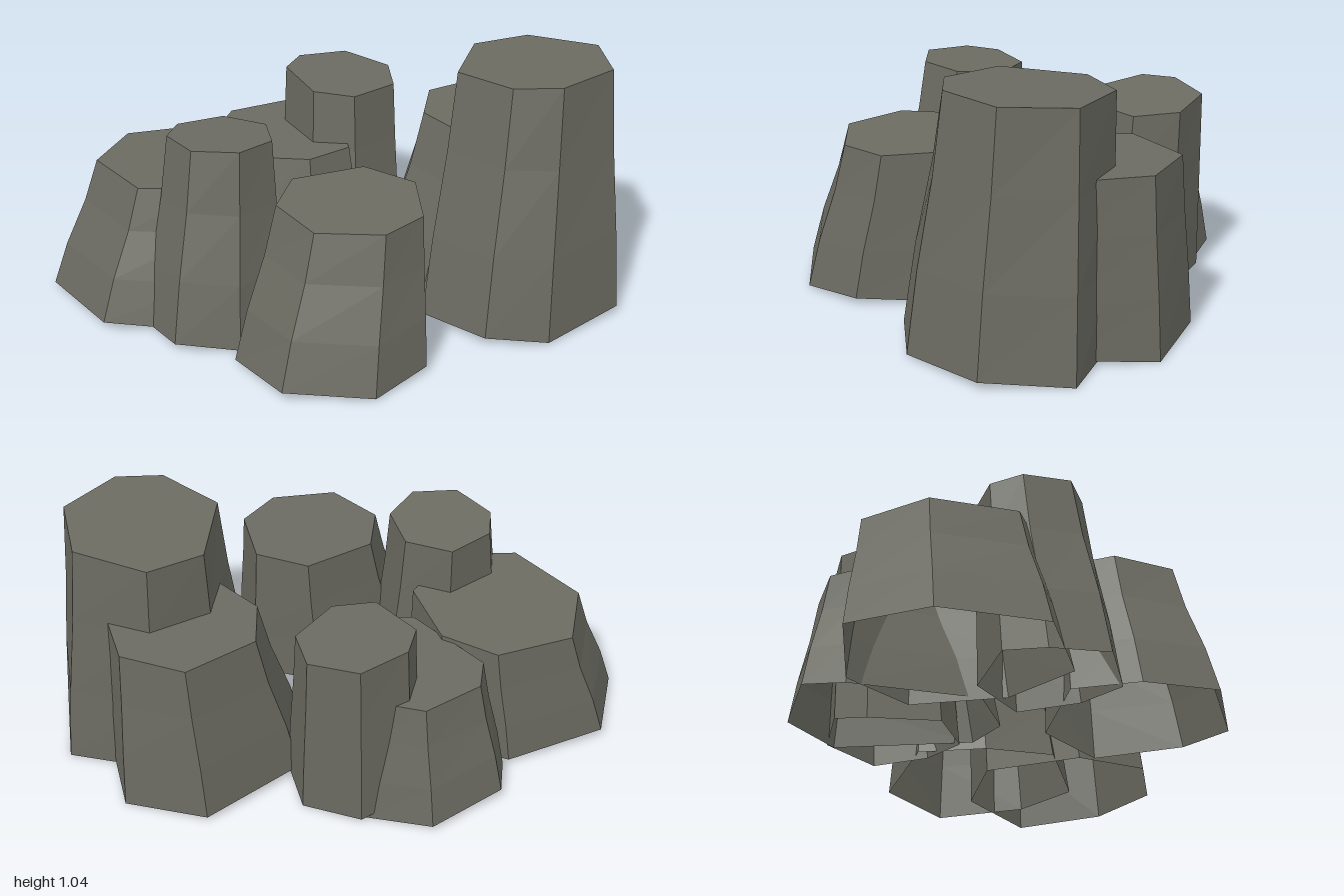
import * as THREE from 'three';

// Seven-sided columns. base and top: [centre x, centre z, radius x, radius z];
// cap: [height, slope along x, slope along z]; angles: uneven corner directions in degrees
const columns = [
  { name: 'tallColumn', angles: [-4, 54, 98, 162, 215, 250, 302],
    base: [0.53, 0.53, 0.45, 0.37], top: [0.59, 0.47, 0.32, 0.32], cap: [1.02, 0, 0.06] },
  { name: 'rightColumn', angles: [0, 52, 115, 158, 204, 258, 306],
    base: [0.565, 0.17, 0.435, 0.39], top: [0.65, 0.18, 0.31, 0.31], cap: [0.715, 0.02, 0] },
  { name: 'frontLeftColumn', angles: [-2, 46, 108, 153, 206, 260, 301],
    base: [-0.35, 0.445, 0.40, 0.37], top: [-0.245, 0.41, 0.295, 0.29], cap: [0.625, 0, -0.03] },
  { name: 'slimLeftColumn', angles: [0, 55, 112, 150, 205, 257, 307],
    base: [-0.58, -0.04, 0.305, 0.27], top: [-0.515, -0.095, 0.21, 0.215], cap: [0.785, -0.05, 0.06] },
  { name: 'backLeftColumn', angles: [0, 40, 98, 149, 208, 258, 310],
    base: [-0.615, -0.445, 0.44, 0.45], top: [-0.505, -0.435, 0.335, 0.36], cap: [0.555, 0, 0.05] },
  { name: 'backLowColumn', angles: [15, 54, 110, 139, 216, 250, 292],
    base: [0.02, -0.44, 0.36, 0.435], top: [0.03, -0.44, 0.28, 0.32], cap: [0.535, 0, 0] },
  { name: 'slimBackColumn', angles: [-5, 51, 105, 140, 206, 249, 307],
    base: [0.24, -0.355, 0.26, 0.275], top: [0.265, -0.385, 0.235, 0.23], cap: [0.755, -0.05, -0.08] },
];

const SIDES = 7;
// [height fraction, blend from base to top]: the shaft flares toward the ground
const rings = [[0, 0], [0.33, 0.3], [0.68, 0.72], [1, 1]];

function columnGeometry({ angles, base, top, cap }) {
  const pos = [], index = [];
  const corner = ([cx, cz, rx, rz], i) => {
    const a = THREE.MathUtils.degToRad(angles[i]);
    return new THREE.Vector2(cx + rx * Math.cos(a), cz - rz * Math.sin(a));
  };
  for (const [h, t] of rings) {
    for (let i = 0; i < SIDES; i++) {
      const foot = 0.05 * ((i * 3) % SIDES) / SIDES; // uneven ground edge
      const upper = corner(top, i);
      const rim = cap[0] + cap[1] * (upper.x - top[0]) + cap[2] * (upper.y - top[1]);
      const p = corner(base, i).lerp(upper, t);
      pos.push(p.x, THREE.MathUtils.lerp(foot, rim, h), p.y);
    }
  }
  // side faces
  for (let r = 0; r < rings.length - 1; r++) {
    for (let i = 0; i < SIDES; i++) {
      const a = r * SIDES + i, b = r * SIDES + (i + 1) % SIDES;
      index.push(a, b, b + SIDES, a, b + SIDES, a + SIDES);
    }
  }
  // top cap; the underside stays open
  const last = (rings.length - 1) * SIDES, peak = pos.length / 3;
  pos.push(top[0], cap[0], top[1]);
  for (let i = 0; i < SIDES; i++) index.push(peak, last + i, last + (i + 1) % SIDES);

  const indexed = new THREE.BufferGeometry();
  indexed.setAttribute('position', new THREE.Float32BufferAttribute(pos, 3));
  indexed.setIndex(index);
  const faceted = indexed.toNonIndexed();
  faceted.computeVertexNormals();
  return faceted;
}

export function createModel() {
  const model = new THREE.Group();
  model.name = 'rockColumns';
  const stone = new THREE.MeshStandardMaterial({ color: 0x6b6b62, flatShading: true, side: THREE.DoubleSide });
  stone.name = 'grey stone';
  for (const column of columns) {
    const mesh = new THREE.Mesh(columnGeometry(column), stone);
    mesh.name = column.name;
    model.add(mesh);
  }
  return model;
}
